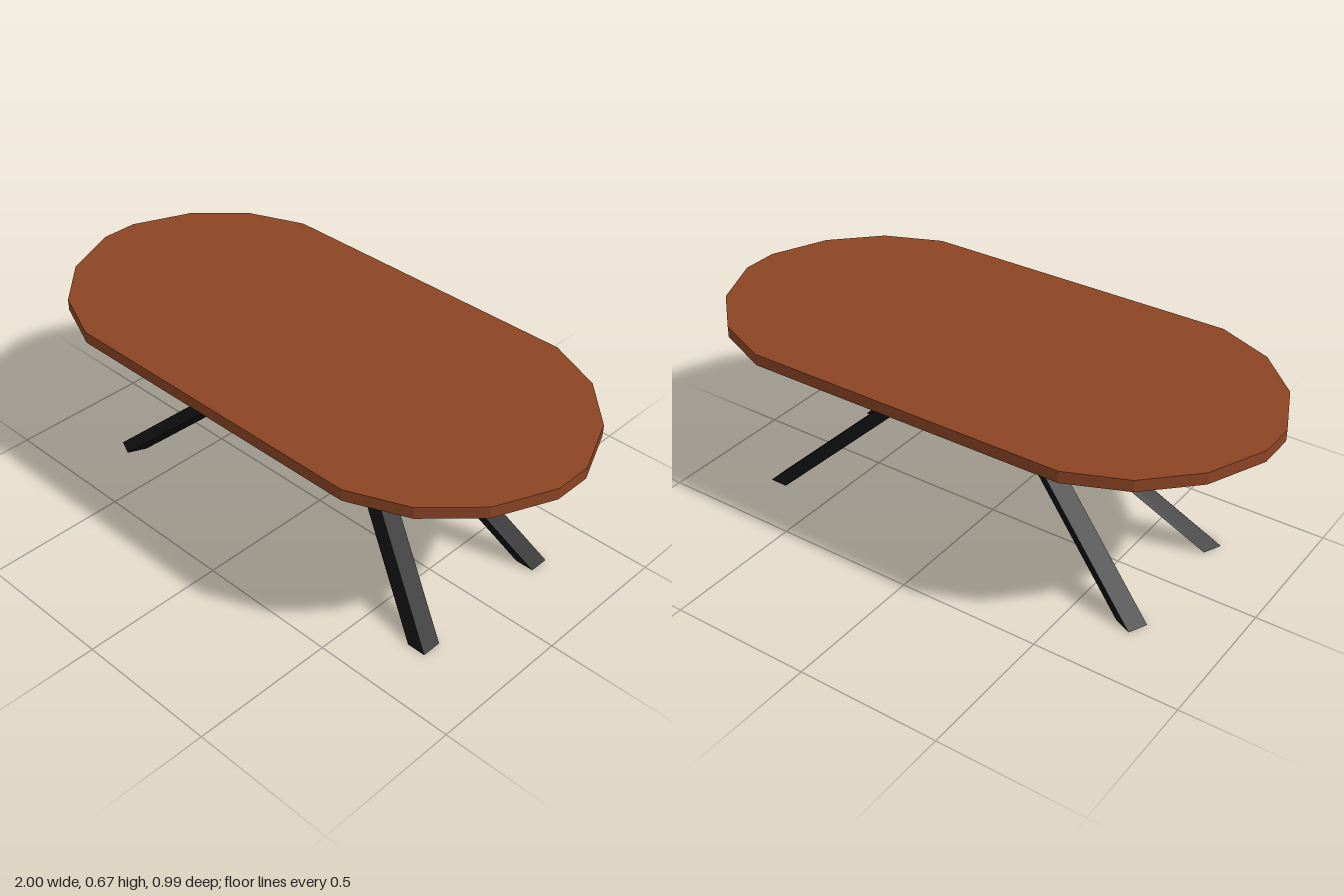
import * as THREE from 'three';

const LEG_HEIGHT = 0.625;
const TOP_THICKNESS = 0.04;

// Rectangular bar sheared from its foot to its head, cut flat at both ends
function legGeometry(foot, head, turn) {
  const geo = new THREE.BoxGeometry(0.066, LEG_HEIGHT, 0.07);
  geo.rotateY(turn);
  geo.translate(0, LEG_HEIGHT / 2, 0);
  const p = geo.attributes.position;
  for (let i = 0; i < p.count; i++) {
    const t = p.getY(i) / LEG_HEIGHT;
    p.setX(i, p.getX(i) + THREE.MathUtils.lerp(foot[0], head[0], t));
    p.setZ(i, p.getZ(i) + THREE.MathUtils.lerp(foot[1], head[1], t));
  }
  geo.computeVertexNormals();
  return geo;
}

export function createModel() {
  const model = new THREE.Group();
  model.name = 'table';

  const wood = new THREE.MeshStandardMaterial({ color: 0x8b4524 });
  wood.name = 'brown wood';
  const metal = new THREE.MeshStandardMaterial({ color: 0x111111 });
  metal.name = 'black metal';

  // Faceted oval tabletop, one quarter of the outline mirrored around
  const quarter = [[1, 0.065], [0.915, 0.262], [0.765, 0.412], [0.568, 0.495]];
  const back = [...quarter].reverse();
  const outline = [
    ...quarter,
    ...back.map(([x, z]) => [-x, z]),
    ...quarter.map(([x, z]) => [-x, -z]),
    ...back.map(([x, z]) => [x, -z]),
  ].map(([x, z]) => new THREE.Vector2(x, z));
  const topGeo = new THREE.ExtrudeGeometry(new THREE.Shape(outline), {
    depth: TOP_THICKNESS,
    bevelEnabled: false,
  });
  topGeo.rotateX(-Math.PI / 2);
  topGeo.translate(0, LEG_HEIGHT, 0);
  const top = new THREE.Mesh(topGeo, wood);
  top.name = 'tabletop';
  model.add(top);

  // Four splayed legs meeting under the middle; the right pair is turned
  const legs = [
    ['frontLeftLeg', [0.712, 0.27], [0.047, -0.03], 0],
    ['backLeftLeg', [0.712, -0.265], [0.047, -0.055], 0],
    ['frontRightLeg', [-0.695, 0.247], [-0.015, -0.053], -0.43],
    ['backRightLeg', [-0.695, -0.242], [-0.015, -0.04], -0.43],
  ];
  for (const [name, foot, head, turn] of legs) {
    const leg = new THREE.Mesh(legGeometry(foot, head, turn), metal);
    leg.name = name;
    model.add(leg);
  }
  return model;
}
